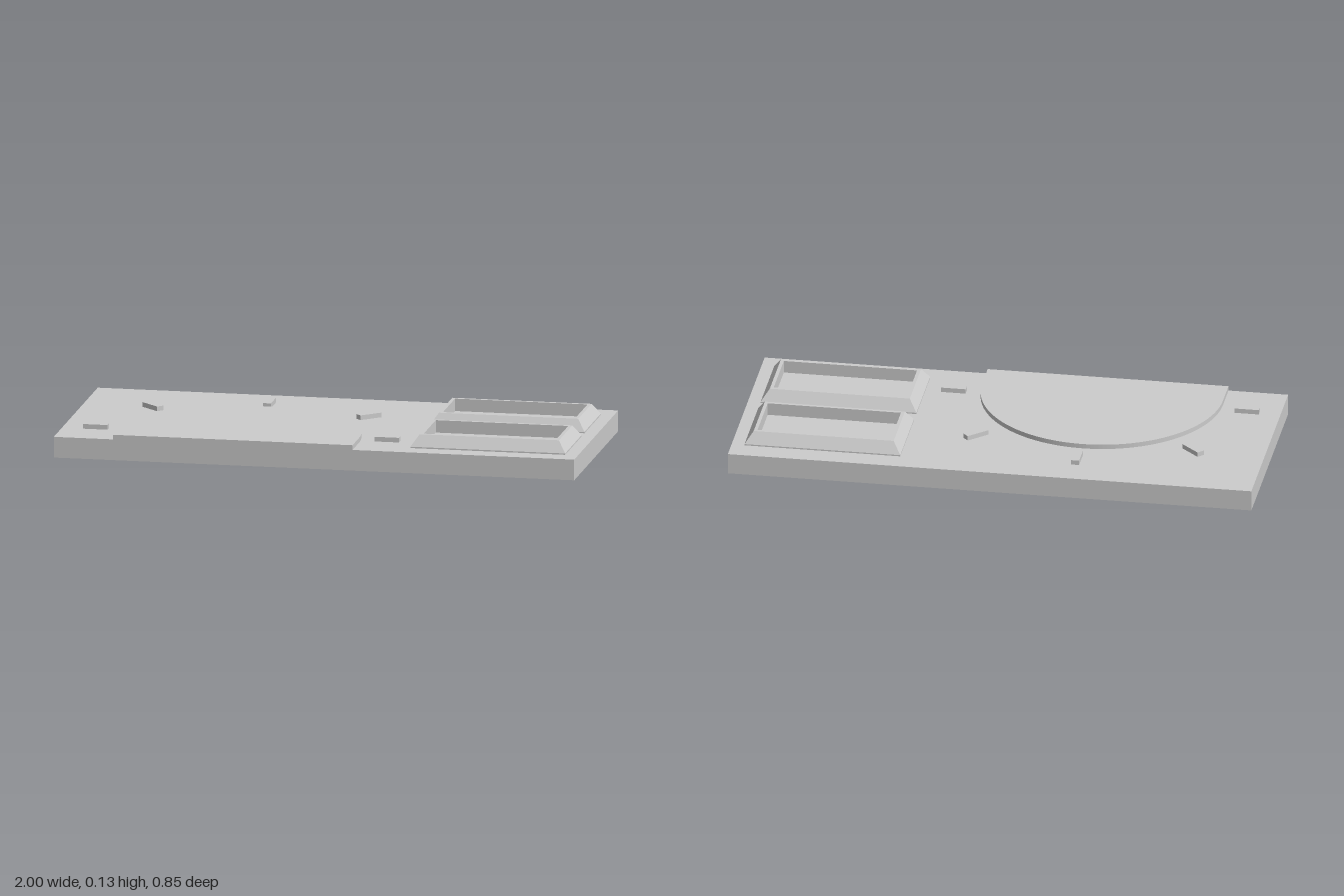
import * as THREE from 'three';

const material = new THREE.MeshStandardMaterial({ color: 0xcccccc });
const BASE_TOP = 0.08, RAISED = 0.018, HALF_DEPTH = 0.427;
const DIAL_X = -0.312;

function add(parent, name, geometry, x = 0, y = 0, z = 0) {
  const mesh = new THREE.Mesh(geometry, material);
  mesh.name = name;
  mesh.position.set(x, y, z);
  parent.add(mesh);
  return mesh;
}

// Rectangular rim: a section of [inset, height] swept round a rectangle with mitred corners
function rimGeometry(width, depth, section) {
  const corners = [[1, 1], [1, -1], [-1, -1], [-1, 1]];
  const point = (c, [inset, y]) => [c[0] * (width / 2 - inset), y, c[1] * (depth / 2 - inset)];
  const positions = [];
  for (let s = 0; s < section.length - 1; s++) {
    for (let i = 0; i < 4; i++) {
      const p = corners[i], q = corners[(i + 1) % 4];
      const a = point(p, section[s]), b = point(q, section[s]);
      const c = point(q, section[s + 1]), d = point(p, section[s + 1]);
      positions.push(...a, ...b, ...c, ...a, ...c, ...d);
    }
  }
  const geometry = new THREE.BufferGeometry();
  geometry.setAttribute('position', new THREE.Float32BufferAttribute(positions, 3));
  geometry.computeVertexNormals();
  return geometry;
}

// Arch-shaped plate: half disc with short straight sides running to the front edge
function dialGeometry() {
  const r = 0.46, centreZ = 0.3;
  const shape = new THREE.Shape();
  shape.moveTo(-r, -HALF_DEPTH);
  shape.lineTo(r, -HALF_DEPTH);
  shape.lineTo(r, -centreZ);
  shape.absarc(0, -centreZ, r, 0, Math.PI, false);
  shape.closePath();
  const geometry = new THREE.ExtrudeGeometry(shape, { depth: RAISED, bevelEnabled: false, curveSegments: 48 });
  return geometry.rotateX(-Math.PI / 2);
}

export function createModel() {
  const model = new THREE.Group();
  model.name = 'panel';

  add(model, 'basePlate', new THREE.BoxGeometry(2, BASE_TOP, HALF_DEPTH * 2), 0, BASE_TOP / 2, 0);
  add(model, 'archedDial', dialGeometry(), DIAL_X, BASE_TOP, 0);

  // Tick marks fanned around the dial: x offset, z, turn
  const ticks = [
    [-0.56, 0.254, 0], [-0.415, -0.12, -0.75], [0.005, -0.259, Math.PI / 2],
    [0.415, -0.12, 0.75], [0.56, 0.254, 0],
  ];
  const tickGeometry = new THREE.BoxGeometry(0.094, RAISED, 0.03);
  ticks.forEach(([dx, z, turn], i) => {
    const tick = add(model, `tickMark${i + 1}`, tickGeometry, DIAL_X + dx, BASE_TOP + RAISED / 2, z);
    tick.rotation.y = turn;
  });

  // Two bevelled frames with open centres, one behind the other
  const rim = rimGeometry(0.595, 0.32, [[0, 0], [0, 0.005], [0.03, 0.048], [0.043, 0.048], [0.043, 0]]);
  add(model, 'rearFrame', rim, 0.653, BASE_TOP, -0.181);
  add(model, 'frontFrame', rim, 0.653, BASE_TOP, 0.193);

  return model;
}
